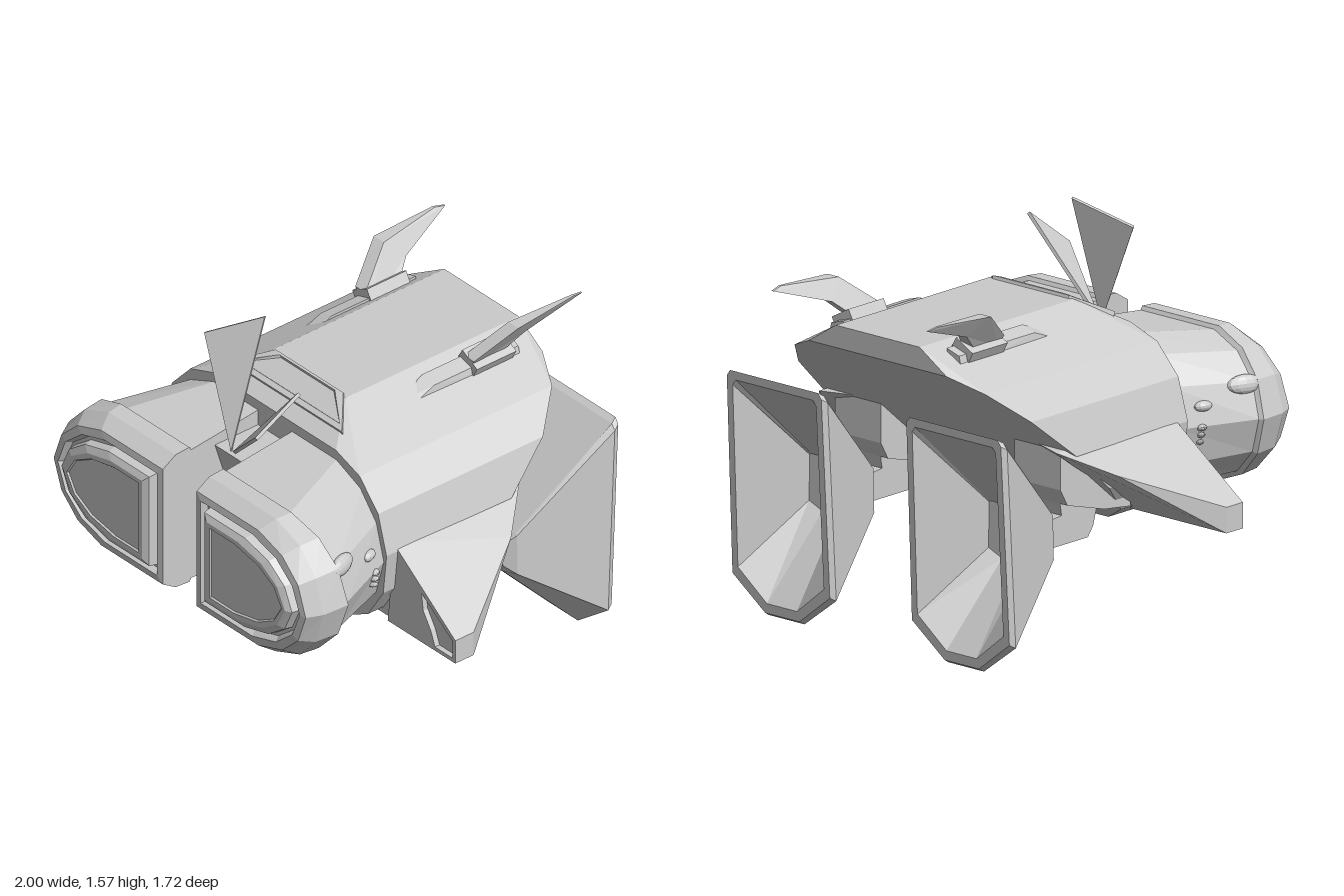
import * as THREE from 'three';
import { ConvexGeometry } from 'three/addons/geometries/ConvexGeometry.js';

const material = new THREE.MeshStandardMaterial({ color: 0xcccccc, flatShading: true });

// Unshared corners give flat faces; a negative volume means the winding must be reversed
function finish(geometry) {
  const g = geometry.index ? geometry.toNonIndexed() : geometry;
  const p = g.attributes.position;
  const [a, b, c] = [0, 1, 2].map(() => new THREE.Vector3());
  let volume = 0;
  for (let i = 0; i < p.count; i += 3) {
    a.fromBufferAttribute(p, i);
    b.fromBufferAttribute(p, i + 1);
    c.fromBufferAttribute(p, i + 2);
    volume += a.dot(b.cross(c));
  }
  if (volume < 0) {
    for (let i = 0; i < p.count; i += 3) {
      b.fromBufferAttribute(p, i + 1);
      c.fromBufferAttribute(p, i + 2);
      p.setXYZ(i + 1, c.x, c.y, c.z);
      p.setXYZ(i + 2, b.x, b.y, b.z);
    }
  }
  g.computeVertexNormals();
  return g;
}

// Closed solid through rings of equal point count
function loft(rings) {
  const n = rings[0].length, index = [];
  for (let r = 0; r < rings.length - 1; r++) {
    for (let i = 0; i < n; i++) {
      const a = r * n + i, b = r * n + (i + 1) % n;
      index.push(a, b, b + n, a, b + n, a + n);
    }
  }
  const last = (rings.length - 1) * n;
  for (let i = 1; i < n - 1; i++) {
    index.push(0, i + 1, i, last, last + i, last + i + 1);
  }
  const g = new THREE.BufferGeometry();
  g.setAttribute('position', new THREE.Float32BufferAttribute(rings.flat(2), 3));
  g.setIndex(index);
  return g;
}

const convex = (points) => new ConvexGeometry(points.map((p) => new THREE.Vector3(...p)));
const polygon = (points) => points.map((p) => new THREE.Vector2(...p));

// Side profile of [z, y] points, extruded from x0 to x1
function sideProfile(points, x0, x1) {
  const g = new THREE.ExtrudeGeometry(new THREE.Shape(polygon(points)), { depth: x1 - x0, bevelEnabled: false });
  return g.rotateY(-Math.PI / 2).translate(x1, 0, 0);
}

// D-shaped ring of an eye pod; sweep pulls the outer side back
function podRing(z, xIn, xOut, h, sweep = 0) {
  const arc = [[0.28, 1, 0], [0.14, 0.82, 0.4], [0.045, 0.48, 0.75], [0, 0, 1], [0.045, -0.48, 0.75], [0.14, -0.82, 0.4], [0.28, -1, 0]];
  return [[xIn, 0.765 + h, z],
    ...arc.map(([dx, v, k]) => [xOut - dx, 0.765 + h * v, z - sweep * k]),
    [xIn, 0.765 - h, z]];
}

// Nozzle ring: straight top with nicked corners, chamfered bottom
function nozzleRing(halfW, y0, y1, zAt) {
  const outline = [[-1, 0.135], [-0.35, 0], [0.35, 0], [1, 0.135], [0.97, 0.975], [0.9, 1], [-0.9, 1], [-0.97, 0.975]];
  return outline.map(([u, v]) => {
    const y = y0 + (y1 - y0) * v;
    return [0.47 + u * halfW, y, zAt(y)];
  });
}

export function createModel() {
  const model = new THREE.Group();
  const add = (name, geometry) => {
    const mesh = new THREE.Mesh(finish(geometry), material);
    mesh.name = name;
    model.add(mesh);
  };
  const addPair = (name, geometry) => {
    add(name + 'Left', geometry.clone());
    add(name + 'Right', geometry.clone().scale(-1, 1, 1));
  };

  // Faceted hull, sloped at the top front and cut diagonally at the rear
  const section = [[0.22, 1.24], [0.36, 1.15], [0.5, 1.09], [0.61, 0.97], [0.66, 0.8], [0.64, 0.62], [0.55, 0.48], [0.4, 0.4]];
  const hullPoints = [];
  for (const [px, y] of section) {
    const rear = -0.7 + Math.max(0, 1.15 - y) / 0.85;
    for (const x of [px, -px]) {
      hullPoints.push([x, Math.min(y, 1.14), 0.35], [x, y, 0.18], [x, y, rear]);
    }
  }
  add('hull', convex(hullPoints));

  // Raised hatch frame on the front slope
  const hatchRing = (inset, lift) => [[-0.33, 0.29], [0.33, 0.29], [0.2, 0.17], [-0.2, 0.17]].map(([x, z]) => {
    const zz = z + (z > 0.2 ? -inset : inset * 0.6);
    return [x - Math.sign(x) * inset * 1.8, 1.24 - Math.max(0, zz - 0.18) * 0.59 + lift, zz + lift * 0.4];
  });
  add('hatch', loft([hatchRing(0, -0.03), hatchRing(0, 0.012), hatchRing(0.02, 0.012), hatchRing(0.024, 0.003)]));

  // Centre bridge and chin between the pods
  add('centreBridge', sideProfile([[0.3, 1.03], [0.57, 1.03], [0.5, 0.81], [0.6, 0.73], [0.65, 0.45],
    [0.38, 0.28], [0.17, 0.28], [0.02, 0.38], [0.2, 0.45]], -0.104, 0.104));

  // Eye pods with stepped collar, framed front and raised lens
  addPair('eyePod', loft([
    podRing(0.33, 0.1, 0.635, 0.335),
    podRing(0.69, 0.1, 0.765, 0.295, 0.05),
    podRing(0.7, 0.1, 0.783, 0.31, 0.05),
    podRing(0.77, 0.1, 0.775, 0.305),
    podRing(0.835, 0.1, 0.745, 0.265),
    podRing(0.84, 0.13, 0.715, 0.235),
    podRing(0.815, 0.145, 0.7, 0.222),
    podRing(0.815, 0.158, 0.688, 0.21),
    podRing(0.85, 0.163, 0.682, 0.205),
    podRing(0.864, 0.19, 0.655, 0.18),
    podRing(0.864, 0.21, 0.635, 0.16),
    podRing(0.857, 0.215, 0.63, 0.155),
  ]));

  // Domed buttons on the pod sides: x, y, z, half length, half height
  const buttons = [[0.708, 0.9, 0.62, 0.075, 0.038], [0.655, 0.84, 0.44, 0.04, 0.022],
    [0.667, 0.76, 0.42, 0.02, 0.014], [0.665, 0.73, 0.42, 0.014, 0.011], [0.66, 0.7, 0.42, 0.013, 0.01]];
  for (const [x, y, z, rz, ry] of buttons) {
    addPair('podButton', new THREE.SphereGeometry(1, 12, 8).scale(0.025, ry, rz)
      .rotateZ(0.3).rotateY(0.35).translate(x, y, z));
  }

  // Tapered side wings
  addPair('wing', convex([
    [0.5, 0.82, 0.27], [0.64, 0.82, 0.27], [1, 0.555, 0.27], [1, 0.45, 0.27], [0.5, 0.45, 0.27],
    [1, 0.555, 0.2], [1, 0.45, 0.2], [0.5, 0.45, 0.2],
    [0.78, 0.72, -0.18], [0.62, 0.82, -0.36], [0.45, 0.82, -0.3],
  ]));

  // Raised border on each wing front
  const border = new THREE.Shape(polygon([[0.6, 0.45], [1, 0.45], [1, 0.555], [0.64, 0.82]]));
  border.holes.push(new THREE.Path(polygon([[0.8, 0.675], [0.982, 0.545], [0.982, 0.467], [0.88, 0.467], [0.855, 0.53], [0.81, 0.6]])));
  addPair('wingBorder', new THREE.ExtrudeGeometry(border, { depth: 0.025, bevelEnabled: false }).translate(0, 0, 0.268));

  // Engine mounts and pylons
  addPair('engineMount', sideProfile([[0.1, 0.82], [-0.3, 0.82], [-0.3, 0.65], [-0.26, 0.58], [-0.05, 0.52], [0.1, 0.5]], 0.35, 0.59));
  addPair('enginePylon', sideProfile([[-0.04, 0.64], [-0.05, 0.52], [-0.07, 0.45], [-0.1, 0.41], [-0.36, 0.41],
    [-0.36, 0.52], [-0.25, 0.53], [-0.27, 0.64]], 0.39, 0.55));

  // Hollow flared nozzles with a slightly tilted mouth
  const mouth = (y) => -0.78 + (0.98 - y) * 0.05;
  addPair('nozzle', loft([
    nozzleRing(0.1, 0.41, 0.52, () => -0.32),
    nozzleRing(0.14, 0.36, 0.57, () => -0.36),
    nozzleRing(0.265, 0.005, 0.965, (y) => mouth(y) + 0.025),
    nozzleRing(0.255, 0.02, 0.98, mouth),
    nozzleRing(0.225, 0.06, 0.945, mouth),
    nozzleRing(0.11, 0.38, 0.6, () => -0.46),
  ]));

  // Top fins: long base, socket, and swept horn leaning outwards
  addPair('finBase', convex([
    [0.3, 1.17, -0.03], [0.34, 1.15, -0.03], [0.27, 1.18, -0.06], [0.27, 1.225, -0.17], [0.335, 1.205, -0.17],
    [0.27, 1.225, -0.6], [0.335, 1.205, -0.6], [0.27, 1.15, -0.6], [0.35, 1.14, -0.6],
  ]));
  addPair('finSocket', new THREE.BoxGeometry(0.1, 0.085, 0.2).rotateZ(-0.5).translate(0.305, 1.2, -0.46));
  const horn = sideProfile([[-0.36, 1.19], [-0.36, 1.24], [-0.52, 1.365], [-0.81, 1.385], [-0.86, 1.375],
    [-0.6, 1.29], [-0.52, 1.22], [-0.52, 1.19]], -0.03, 0.03);
  const hp = horn.attributes.position;
  for (let i = 0; i < hp.count; i++) {
    const y = hp.getY(i), z = hp.getZ(i);
    const taper = THREE.MathUtils.clamp((z + 0.88) / 0.36, 0.15, 1);
    hp.setX(i, 0.29 + (y - 1.19) * 0.62 + hp.getX(i) * taper);
  }
  addPair('horn', horn);

  // Two thin antenna blades meeting at the centre bridge
  const blades = [
    [[-0.23, 1.46, 0.51], [-0.035, 1.57, 0.37], [-0.025, 1.03, 0.55]],
    [[0.29, 1.42, 0.475], [0.25, 1.27, 0.66], [-0.01, 1.03, 0.55]],
  ];
  for (const blade of blades) {
    const corners = blade.map((p) => new THREE.Vector3(...p));
    const offset = new THREE.Triangle(...corners).getNormal(new THREE.Vector3()).multiplyScalar(0.007);
    add('antennaBlade', new ConvexGeometry(corners.flatMap((c) => [c.clone().add(offset), c.clone().sub(offset)])));
  }

  return model;
}
